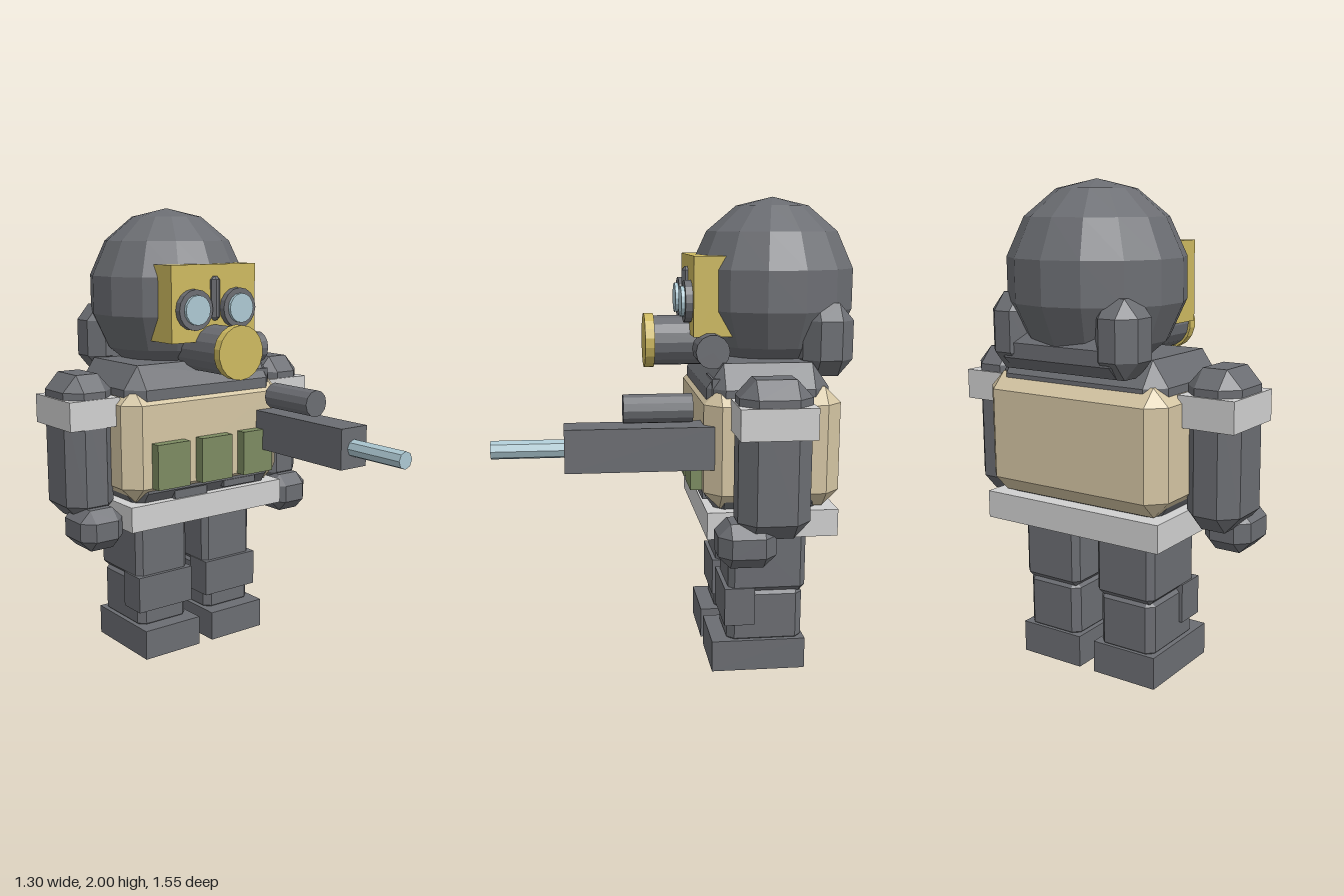
import * as THREE from 'three';
import { ConvexGeometry } from 'three/addons/geometries/ConvexGeometry.js';

function material(name, color) {
  const m = new THREE.MeshStandardMaterial({ color, flatShading: true });
  m.name = name;
  return m;
}

// Box given by its limits on each axis
function box([x0, x1], [y0, y1], [z0, z1]) {
  return new THREE.BoxGeometry(x1 - x0, y1 - y0, z1 - z0)
    .translate((x0 + x1) / 2, (y0 + y1) / 2, (z0 + z1) / 2);
}

// Box with every edge and corner cut off; c is the cut along x, y and z
function chamferBox(xs, ys, zs, c) {
  const lim = [xs, ys, zs];
  const cut = Array.isArray(c) ? c : [c, c, c];
  const points = [];
  for (let face = 0; face < 3; face++) {
    for (let corner = 0; corner < 8; corner++) {
      const p = [0, 1, 2].map((a) => {
        const high = (corner >> a) & 1;
        const inset = a === face ? 0 : cut[a];
        return lim[a][high] + (high ? -inset : inset);
      });
      points.push(new THREE.Vector3(...p));
    }
  }
  return new ConvexGeometry(points);
}

// Cylinder along z between two depths
function rod(x, y, z0, z1, r, sides) {
  return new THREE.CylinderGeometry(r, r, z1 - z0, sides)
    .rotateX(Math.PI / 2).translate(x, y, (z0 + z1) / 2);
}

export function createModel() {
  const model = new THREE.Group();
  const grey = material('suit grey', 0x6b6d72);
  const tan = material('vest tan', 0xd4c5a3);
  const gold = material('mask gold', 0xcdb960);
  const green = material('pouch green', 0x7c8b61);
  const white = material('band white', 0xd0d0d0);
  const blue = material('lens blue', 0xacc8d2);

  const add = (name, geometry, mat) => {
    const mesh = new THREE.Mesh(geometry, mat);
    mesh.name = name;
    model.add(mesh);
    return mesh;
  };
  // Limits on x for the left (+1) or right (-1) side
  const side = (s, a, b) => (s > 0 ? [a, b] : [-b, -a]);

  // Head
  const head = new THREE.SphereGeometry(0.362, 14, 7).rotateY(Math.PI / 2).scale(1.005, 1.05, 1);
  add('head', head.translate(0, 1.62, -0.418), grey);
  add('headBackBar', chamferBox([-0.3, 0.3], [1.27, 1.43], [-0.7, -0.5], 0.05), grey);

  // Face mask
  add('mask', box([-0.225, 0.225], [1.43, 1.76], [-0.25, -0.055]), gold);
  add('noseRidge', chamferBox([-0.022, 0.022], [1.52, 1.71], [-0.08, -0.03], 0.015), grey);
  add('snout', rod(0, 1.395, -0.2, 0.1, 0.107, 16), grey);
  add('snoutCap', rod(0, 1.395, 0.095, 0.135, 0.117, 18), gold);
  add('maskCanister', new THREE.CylinderGeometry(0.07, 0.07, 0.132, 14)
    .rotateZ(Math.PI / 2).translate(0.241, 1.378, -0.125), grey);

  // Torso
  add('body', chamferBox([-0.4, 0.4], [0.68, 1.335], [-0.6, -0.095], [0.07, 0.1, 0.07]), grey);
  add('vest', chamferBox([-0.43, 0.43], [0.74, 1.24], [-0.645, -0.08], 0.067), tan);
  add('belt', box([-0.418, 0.418], [0.622, 0.735], [-0.635, -0.09]), white);
  add('hips', box([-0.33, 0.33], [0.605, 0.68], [-0.54, -0.19]), grey);
  add('shoulderRadio', box([0.175, 0.355], [1.205, 1.275], [-0.26, -0.115]), grey);
  add('rightBeltClip', box([-0.185, -0.01], [0.735, 0.78], [-0.2, -0.1]), grey);
  add('leftBeltClip', box([0.08, 0.26], [0.75, 0.78], [-0.2, -0.09]), grey);
  for (const x of [-0.233, 0, 0.233]) {
    add('chestPouch', box([x - 0.084, x + 0.084], [0.807, 1.007], [-0.1, -0.032]), green);
  }

  for (const s of [1, -1]) {
    const label = s > 0 ? 'left' : 'right';
    // Goggles and the lump on each side of the head bar
    add(label + 'Goggle', rod(s * 0.117, 1.57, -0.08, -0.025, 0.088, 16), grey);
    add(label + 'Lens', rod(s * 0.117, 1.57, -0.03, -0.01, 0.064, 16), blue);
    add(label + 'HeadLump',
      chamferBox(side(s, 0.15, 0.345), [1.27, 1.57], [-0.71, -0.5], [0.06, 0.07, 0.06]), grey);
    // Arm
    add(label + 'Arm',
      chamferBox(side(s, 0.412, 0.645), [0.67, 1.305], [-0.477, -0.187], [0.065, 0.07, 0.065]), grey);
    add(label + 'ArmBand', box(side(s, 0.41, 0.652), [1.08, 1.205], [-0.485, -0.182]), white);
    add(label + 'Hand', chamferBox(side(s, 0.425, 0.632), [0.555, 0.735], [-0.343, -0.11], 0.05), grey);
    // Leg
    add(label + 'Thigh',
      chamferBox(side(s, 0.046, 0.322), [0.345, 0.68], [-0.53, -0.198], 0.025), grey);
    add(label + 'Shin',
      chamferBox(side(s, 0.055, 0.315), [0.11, 0.365], [-0.52, -0.195], 0.03), grey);
    add(label + 'KneePad', box(side(s, 0.042, 0.33), [0.205, 0.37], [-0.31, -0.18]), grey);
    add(label + 'Boot', box(side(s, 0.037, 0.332), [0, 0.135], [-0.53, -0.127]), grey);
  }

  // Gun
  add('gunBody', box([0.26, 0.408], [0.912, 1.09], [-0.12, 0.483]), grey);
  add('gunBarrel', rod(0.334, 1.0, 0.45, 0.775, 0.038, 8), blue);
  add('gunScope', rod(0.333, 1.157, -0.035, 0.245, 0.06, 12), grey);

  return model;
}
